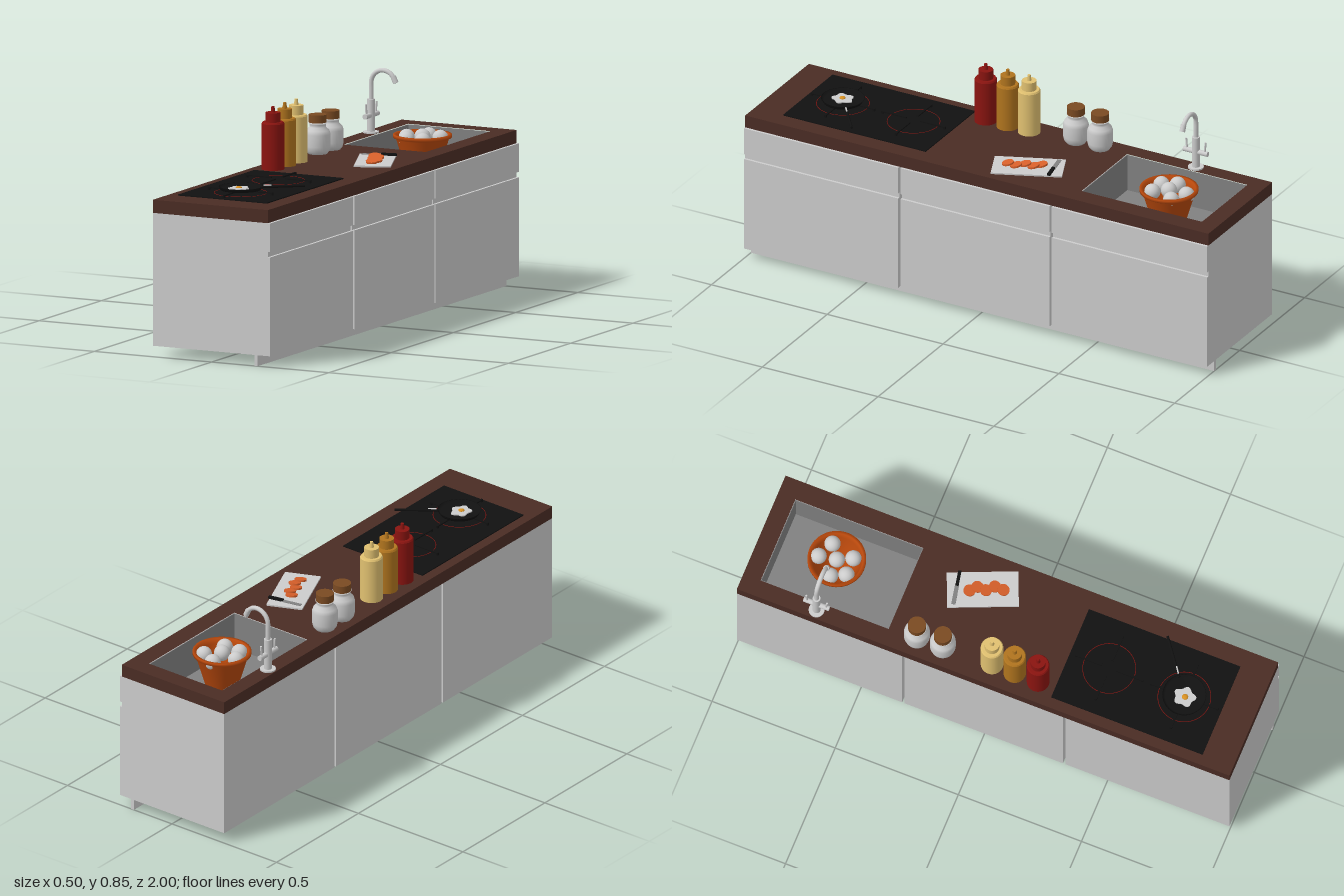
import * as THREE from 'three';

const mat = (color, double = false) =>
  new THREE.MeshStandardMaterial({ color, side: double ? THREE.DoubleSide : THREE.FrontSide });

const GREY = mat(0xcccccc), GREY2 = mat(0xcccccc, true), WOOD = mat(0x4a2c24), BLACK = mat(0x111111);
const STEEL = mat(0x808080), RED = mat(0x8a1410), ORANGE = mat(0xd8602a), CORK = mat(0x7a4a22);

function add(parent, name, geo, material, x = 0, y = 0, z = 0) {
  const m = new THREE.Mesh(geo, material);
  m.name = name;
  m.position.set(x, y, z);
  parent.add(m);
  return m;
}

// Box given by its extents on each axis
function box(parent, name, material, [x0, x1], [y0, y1], [z0, z1]) {
  return add(parent, name, new THREE.BoxGeometry(x1 - x0, y1 - y0, z1 - z0), material,
    (x0 + x1) / 2, (y0 + y1) / 2, (z0 + z1) / 2);
}

function rect(path, [x0, x1], [z0, z1]) {
  path.moveTo(x0, -z0).lineTo(x1, -z0).lineTo(x1, -z1).lineTo(x0, -z1).closePath();
  return path;
}

// Horizontal slab with a rectangular opening
function slabWithHole(parent, name, material, xr, [y0, y1], zr, hx, hz) {
  const s = rect(new THREE.Shape(), xr, zr);
  s.holes.push(rect(new THREE.Path(), hx, hz));
  const g = new THREE.ExtrudeGeometry(s, { depth: y1 - y0, bevelEnabled: false });
  g.rotateX(-Math.PI / 2);
  return add(parent, name, g, material, 0, y0, 0);
}

function lathe(parent, name, pts, material, x, y, z, seg = 32) {
  return add(parent, name, new THREE.LatheGeometry(pts.map(p => new THREE.Vector2(...p)), seg), material, x, y, z);
}

const cyl = (r, h, seg = 24, r2 = r) => new THREE.CylinderGeometry(r2, r, h, seg);

// Cylinder between two points
function rod(parent, name, material, a, b, r) {
  const p = new THREE.Vector3(...a), q = new THREE.Vector3(...b), d = q.clone().sub(p);
  const m = add(parent, name, cyl(r, d.length(), 16), material);
  m.position.copy(p).add(q).multiplyScalar(0.5);
  m.quaternion.setFromUnitVectors(new THREE.Vector3(0, 1, 0), d.normalize());
  return m;
}

function group(parent, name, x = 0, y = 0, z = 0) {
  const g = new THREE.Group();
  g.name = name;
  g.position.set(x, y, z);
  parent.add(g);
  return g;
}

const SINK_X = [-0.185, 0.165], SINK_Z = [-0.93, -0.41], SINK_Y = 0.45;

function addCabinets(root) {
  [[-1, -0.329], [-0.319, 0.324], [0.334, 1]].forEach((zr, i) => {
    const c = group(root, 'cabinet' + (i + 1));
    if (i === 0) {
      box(c, 'carcass', GREY, [-0.25, 0.24], [0.042, SINK_Y - 0.005], zr);
      slabWithHole(c, 'carcassTop', GREY, [-0.25, 0.24], [SINK_Y - 0.005, 0.55], zr, SINK_X, SINK_Z);
    } else box(c, 'carcass', GREY, [-0.25, 0.24], [0.042, 0.55], zr);
    box(c, 'door', GREY, [0.24, 0.25], [0.042, 0.42], zr);
    box(c, 'drawerFront', GREY, [0.24, 0.25], [0.441, 0.55], zr);
  });
  box(root, 'kickBoard', GREY, [0.182, 0.196], [0, 0.042], [-1, 1]);
}

function addSink(root) {
  const s = group(root, 'sink'), t = 0.003, y = [SINK_Y, 0.598];
  const [x0, x1] = SINK_X, [z0, z1] = SINK_Z;
  box(s, 'sinkFloor', STEEL, SINK_X, [SINK_Y - t, SINK_Y], SINK_Z);
  box(s, 'sinkWall', STEEL, [x0, x0 + t], y, SINK_Z);
  box(s, 'sinkWall', STEEL, [x1 - t, x1], y, SINK_Z);
  box(s, 'sinkWall', STEEL, SINK_X, y, [z0, z0 + t]);
  box(s, 'sinkWall', STEEL, SINK_X, y, [z1 - t, z1]);
}

function addFaucet(root) {
  const f = group(root, 'faucet', -0.216, 0.6, -0.69);
  add(f, 'base', cyl(0.03, 0.006), GREY, 0, 0.003, 0);
  add(f, 'column', cyl(0.015, 0.13), GREY, 0, 0.065, 0);
  // Swan neck: straight rise, then an arch
  const pts = [[0, 0.12], [0, 0.16]];
  for (let i = 0; i <= 8; i++) {
    const a = Math.PI * (1 - 0.11 * i);
    pts.push([0.051 + 0.051 * Math.cos(a), 0.192 + 0.051 * Math.sin(a)]);
  }
  const curve = new THREE.CatmullRomCurve3(pts.map(([x, y]) => new THREE.Vector3(x, y, 0)));
  add(f, 'neck', new THREE.TubeGeometry(curve, 48, 0.009, 14), GREY2);
  rod(f, 'nozzle', GREY, [0.094, 0.222, 0], [0.105, 0.198, 0], 0.011);
  rod(f, 'valveBar', GREY, [0, 0.068, -0.052], [0, 0.068, 0.052], 0.01);
  for (const s of [-1, 1]) rod(f, 'lever', GREY, [0, 0.068, s * 0.038], [0, 0.115, s * 0.042], 0.004);
}

function addBowl(root) {
  const b = group(root, 'fruitBowl', 0, SINK_Y, -0.695);
  lathe(b, 'bowl', [[0, 0], [0.055, 0], [0.06, 0.01], [0.1, 0.145], [0.111, 0.15], [0.111, 0.162],
    [0.1, 0.162], [0.092, 0.145], [0.052, 0.012], [0, 0.012]], mat(0xb8480c, true), 0, 0, 0, 40);
  const ball = new THREE.SphereGeometry(0.031, 20, 14);
  [[-0.01, -0.07], [0.055, -0.04], [-0.067, 0], [-0.04, 0.055], [0.03, 0.055]].forEach(
    ([x, z]) => add(b, 'fruit', ball, GREY, x, 0.145, z));
  add(b, 'fruit', ball, GREY, 0, 0.152, 0);
}

function addContainers(root) {
  // Squeeze bottles
  [[0.19, RED], [0.095, mat(0xb0741e)], [0.003, mat(0xe0c070)]].forEach(([z, m]) => {
    const b = group(root, 'sauceBottle', -0.168, 0.6, z);
    add(b, 'body', cyl(0.043, 0.175, 32), m, 0, 0.0875, 0);
    add(b, 'shoulder', cyl(0.043, 0.006, 32, 0.039), m, 0, 0.178, 0);
    add(b, 'cap', cyl(0.028, 0.036), m, 0, 0.199, 0);
    add(b, 'spout', cyl(0.009, 0.024, 16, 0.006), m, 0, 0.228, 0);
  });
  // Spice jars
  for (const z of [-0.192, -0.297]) {
    const j = group(root, 'spiceJar', -0.18, 0.6, z);
    lathe(j, 'jar', [[0, 0], [0.036, 0], [0.045, 0.012], [0.049, 0.03], [0.049, 0.075], [0.044, 0.09],
      [0.031, 0.102], [0.031, 0.112], [0.036, 0.12], [0, 0.12]], GREY2, 0, 0, 0);
    add(j, 'corkLid', cyl(0.034, 0.03, 32), CORK, 0, 0.135, 0);
  }
}

function addBoard(root) {
  const b = group(root, 'choppingSet', 0.093, 0.6, -0.14);
  b.rotation.y = 0.4;
  box(b, 'choppingBoard', GREY, [-0.07, 0.07], [0, 0.006], [-0.135, 0.135]);
  // Overlapping slices
  [-0.05, -0.02, 0.012, 0.046, 0.078].forEach((z, i) => {
    const s = add(b, 'slice', cyl(0.023, 0.007, 20), ORANGE, i % 2 ? 0.008 : -0.006, 0.013, z);
    s.rotation.x = 0.2;
  });
  const k = group(b, 'knife', 0, 0.008, -0.1);
  k.rotation.y = -0.2;
  box(k, 'blade', STEEL, [-0.06, 0.02], [0, 0.002], [-0.008, 0.008]);
  box(k, 'handle', BLACK, [0.015, 0.075], [-0.001, 0.008], [-0.006, 0.006]);
}

function addHob(root) {
  const h = group(root, 'hob');
  box(h, 'hobPlate', BLACK, [-0.21, 0.17], [0.6, 0.604], [0.26, 0.875]);
  for (const z of [0.42, 0.725]) {
    const ring = add(h, 'heatRing', new THREE.TorusGeometry(0.1, 0.0012, 6, 48), RED, -0.022, 0.604, z);
    ring.rotation.x = Math.PI / 2;
    // Crossed pan support with short feet
    for (let i = 0; i < 4; i++) {
      const arm = group(h, 'panSupport', -0.022, 0.604, z);
      arm.rotation.y = i * Math.PI / 2;
      box(arm, 'supportBar', BLACK, [0.03, 0.138], [0.006, 0.011], [-0.004, 0.004]);
      box(arm, 'supportFoot', BLACK, [0.13, 0.138], [0, 0.011], [-0.004, 0.004]);
    }
  }
  // Frying pan with a fried egg
  const p = group(h, 'fryingPan', -0.022, 0.615, 0.725);
  lathe(p, 'pan', [[0, 0], [0.075, 0], [0.083, 0.013], [0.08, 0.013], [0.073, 0.003], [0, 0.003]],
    mat(0x111111, true), 0, 0, 0, 40);
  rod(p, 'panHandle', BLACK, [0.06, 0.008, -0.045], [0.195, 0.009, -0.147], 0.005);
  const white = new THREE.Shape();
  for (let i = 0; i < 40; i++) {
    const a = i * Math.PI / 20, r = 0.036 + 0.005 * Math.cos(5 * a);
    white[i ? 'lineTo' : 'moveTo'](r * Math.cos(a), r * 1.1 * Math.sin(a));
  }
  const eggGeo = new THREE.ExtrudeGeometry(white, { depth: 0.004, bevelEnabled: false }).rotateX(-Math.PI / 2);
  add(p, 'eggWhite', eggGeo, GREY, -0.005, 0.004, 0.003);
  const yolk = add(p, 'eggYolk', new THREE.SphereGeometry(0.012, 16, 10), mat(0xd89020), -0.005, 0.008, 0.005);
  yolk.scale.y = 0.5;
  rod(p, 'forkHead', GREY, [0.07, 0.014, -0.052], [0.095, 0.014, -0.07], 0.003);
}

export function createModel() {
  const root = new THREE.Group();
  root.name = 'kitchenIsland';
  addCabinets(root);
  slabWithHole(root, 'worktop', WOOD, [-0.25, 0.24], [0.55, 0.6], [-1, 1], SINK_X, SINK_Z);
  addSink(root);
  addFaucet(root);
  addBowl(root);
  addContainers(root);
  addBoard(root);
  addHob(root);
  return root;
}
